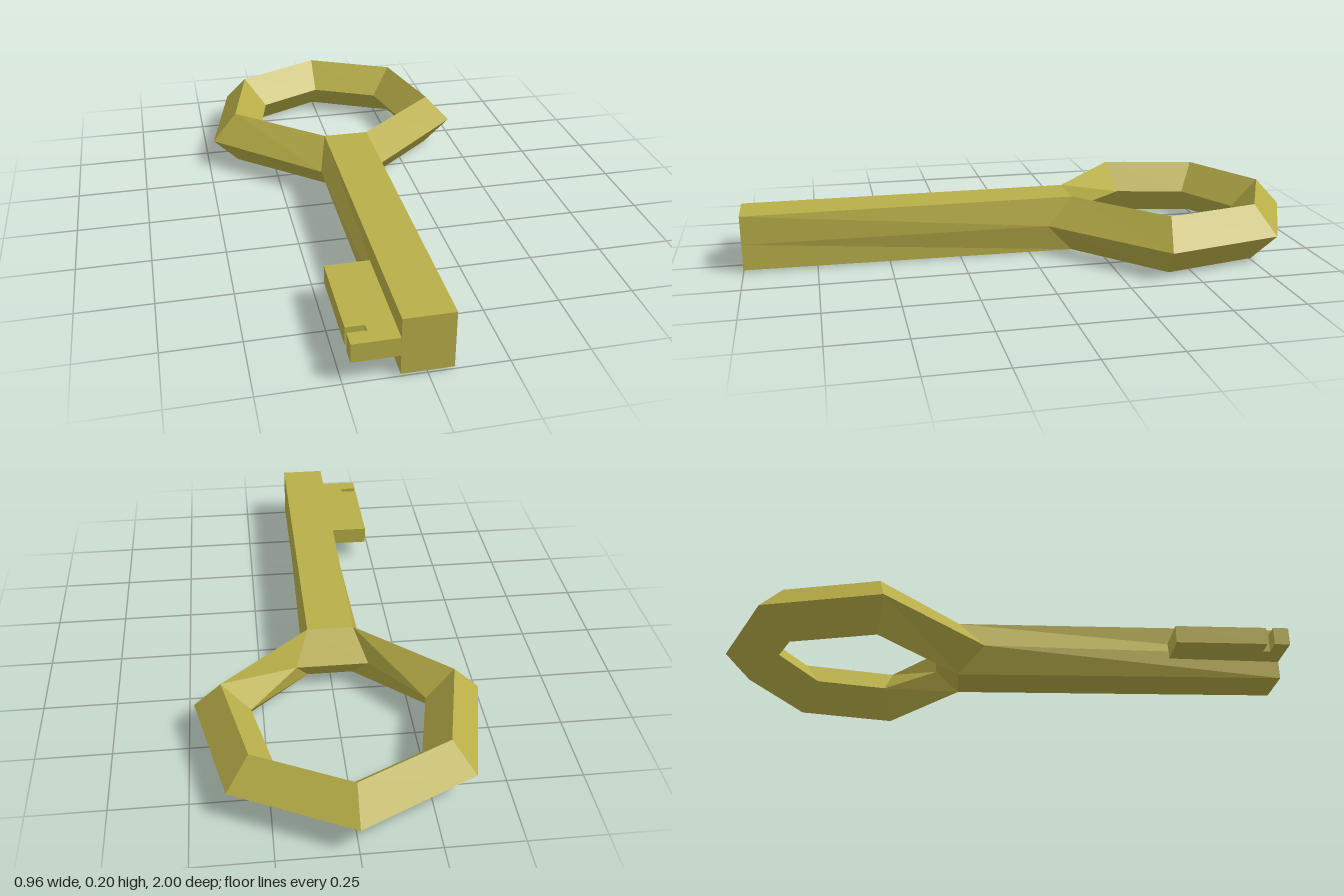
import * as THREE from 'three';

const V = (x, y, z) => new THREE.Vector3(x, y, z);

// Flat-faced geometry from a list of four-cornered faces
function fromQuads(quads) {
  const points = quads.flatMap(([a, b, c, d]) => [a, b, c, a, c, d]);
  const geometry = new THREE.BufferGeometry().setFromPoints(points);
  geometry.computeVertexNormals();
  return geometry;
}

export function createModel() {
  const model = new THREE.Group();
  model.name = 'key';
  const brass = new THREE.MeshStandardMaterial({ color: 0xb8ae48, flatShading: true });
  brass.name = 'brass';

  const add = (name, geometry) => {
    const mesh = new THREE.Mesh(geometry, brass);
    mesh.name = name;
    model.add(mesh);
  };

  // Seven diamond cross-sections round the bow: outer, top, inner, bottom
  const centreZ = -0.51;
  const sections = [];
  for (let i = 0; i < 7; i++) {
    const a = (i * Math.PI * 2) / 7;
    const at = (r, y) => V(Math.sin(a) * r, y, centreZ - Math.cos(a) * r);
    sections.push([at(0.49, 0.1), at(0.395, 0.2), at(0.298, 0.1), at(0.395, 0)]);
  }
  // The two lowest sections are drawn in to meet the shaft
  const joint = (s, outerX) => [
    V(s * outerX, 0.1, -0.065), V(s * 0.08, 0.2, -0.157),
    V(s * 0.125, 0.1, -0.24), V(s * 0.08, 0, -0.157),
  ];
  sections[3] = joint(1, 0.098);
  sections[4] = joint(-1, 0.112);

  const bow = [];
  for (let i = 0; i < 7; i++) {
    const s = sections[i], n = sections[(i + 1) % 7];
    for (let j = 0; j < 4; j++) {
      // Between the joints only the inner faces are needed
      if (i === 3 && (j === 0 || j === 3)) continue;
      const k = (j + 1) % 4;
      bow.push([s[j], s[k], n[k], n[j]]);
    }
  }
  add('bow', fromQuads(bow));

  // Shaft runs from the joints to a square tip
  const [r, l] = [sections[3], sections[4]];
  const back = [r[0], r[1], l[1], l[0], l[3], r[3]];
  const tip = [[0.08, 0.1], [0.08, 0.2], [-0.08, 0.2], [-0.08, 0.1], [-0.08, 0.008], [0.08, 0.008]]
    .map(([x, y]) => V(x, y, 1));
  const shaft = back.map((p, j) => {
    const k = (j + 1) % 6;
    return [p, back[k], tip[k], tip[j]];
  });
  shaft.push([tip[1], tip[2], tip[4], tip[5]]);
  add('shaft', fromQuads(shaft));

  // Notched bit on the side of the shaft
  const outline = [
    [-0.075, 0.6], [-0.075, 0.999], [-0.226, 0.999], [-0.226, 0.945],
    [-0.167, 0.945], [-0.167, 0.92], [-0.226, 0.92], [-0.226, 0.6],
  ].map(([x, z]) => new THREE.Vector2(x, z));
  const bit = new THREE.ExtrudeGeometry(new THREE.Shape(outline), { depth: 0.063, bevelEnabled: false });
  bit.rotateX(Math.PI / 2).translate(0, 0.135, 0);
  add('bit', bit);

  return model;
}
